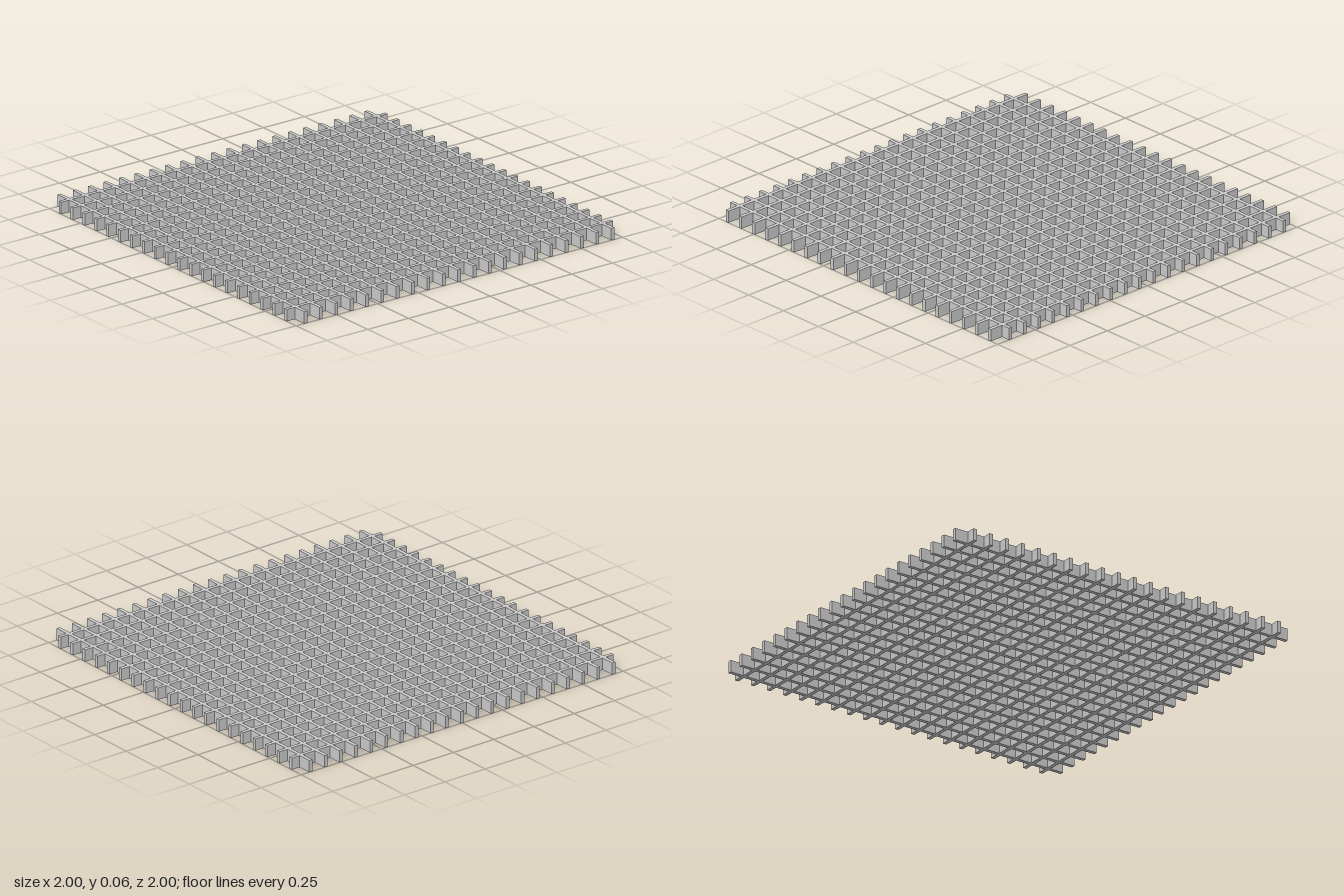
import * as THREE from 'three';

const LENGTH = 2, HEIGHT = 0.063, THICK = 0.02;

export function createModel() {
  const group = new THREE.Group();
  group.name = 'grating';
  const material = new THREE.MeshStandardMaterial({ color: 0xcccccc, flatShading: true });

  // A row of evenly spaced upright slats, from -reach to +reach along one axis
  function addSlats(name, count, reach, axis) {
    const row = new THREE.Group();
    row.name = name + 's';
    const geometry = axis === 'x'
      ? new THREE.BoxGeometry(THICK, HEIGHT, LENGTH)
      : new THREE.BoxGeometry(LENGTH, HEIGHT, THICK);
    for (let i = 0; i < count; i++) {
      const slat = new THREE.Mesh(geometry, material);
      slat.name = name;
      slat.position.y = HEIGHT / 2;
      slat.position[axis] = -reach + (2 * reach * i) / (count - 1);
      row.add(slat);
    }
    group.add(row);
  }

  // Slats running front to back, then slats running side to side
  addSlats('lengthwiseSlat', 20, 0.915, 'x');
  addSlats('crosswiseSlat', 21, 0.941, 'z');
  return group;
}
